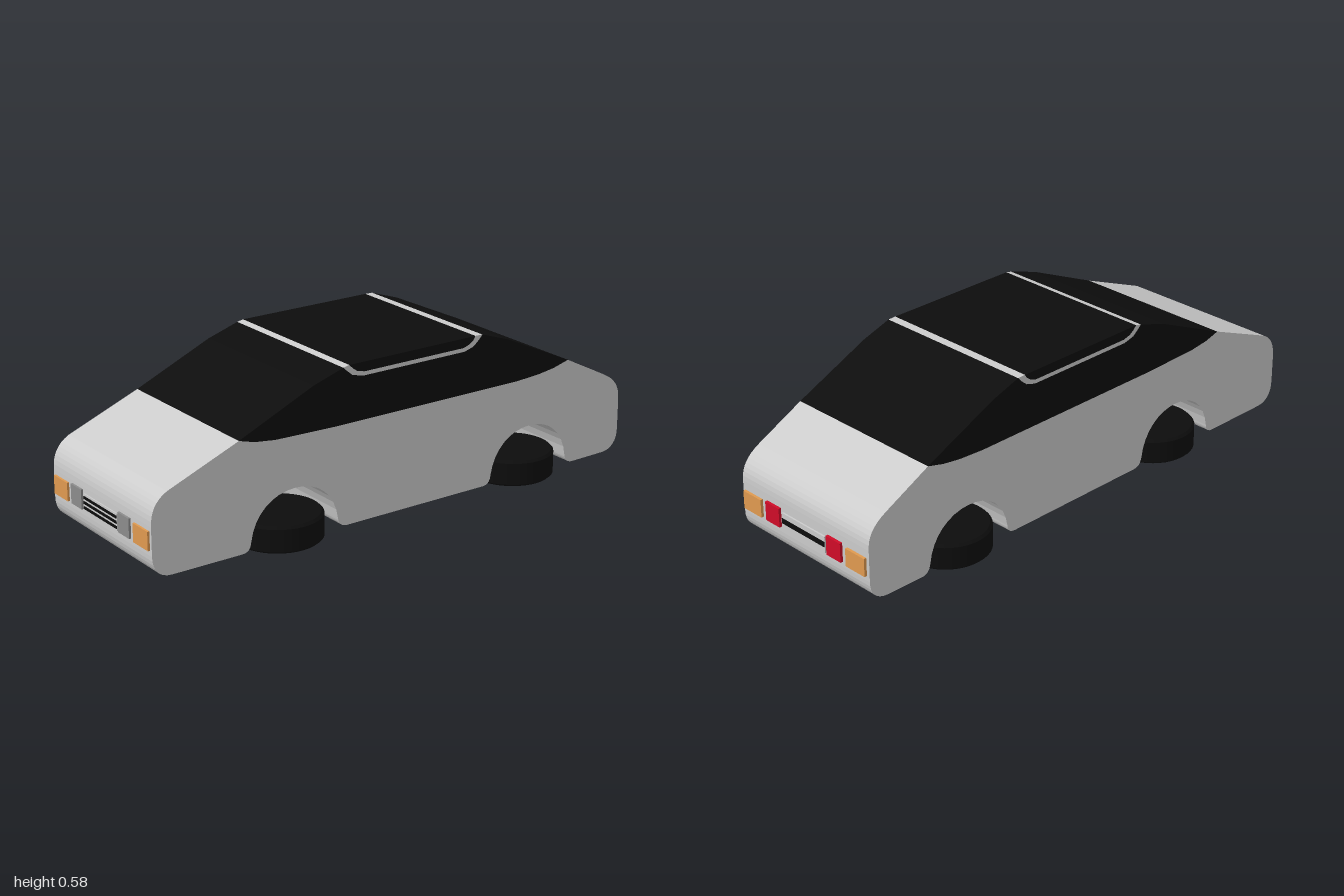
import * as THREE from 'three';

const material = (color) => new THREE.MeshStandardMaterial({ color });
const grey = material(0xcccccc);
const black = material(0x0d0d0d);
const amber = material(0xe09a50);
const red = material(0xd00c28);
const dark = material(0x8c8c8c);

const Z_BACK = -0.32, Z_FRONT = 0.308, Z_MID = -0.005;

function addMesh(parent, name, geometry, mat) {
  const mesh = new THREE.Mesh(geometry, mat);
  mesh.name = name;
  parent.add(mesh);
  return mesh;
}

// Side profile swept across the full width of the car
function addSlab(parent, name, shape, mat) {
  const geometry = new THREE.ExtrudeGeometry(shape, {
    depth: Z_FRONT - Z_BACK, bevelEnabled: false, curveSegments: 8,
  });
  geometry.translate(0, 0, Z_BACK);
  return addMesh(parent, name, geometry, mat);
}

const toShape = (points) => new THREE.Shape(points.map(([x, y]) => new THREE.Vector2(x, y)));

// Wheel arch cut, from its -x foot to its +x foot
function arch(shape, cx) {
  shape.lineTo(cx - 0.21, 0.022);
  shape.quadraticCurveTo(cx - 0.178, 0.022, cx - 0.175, 0.055);
  shape.bezierCurveTo(cx - 0.16, 0.15, cx - 0.09, 0.205, cx, 0.205);
  shape.bezierCurveTo(cx + 0.09, 0.205, cx + 0.16, 0.15, cx + 0.172, 0.055);
  shape.quadraticCurveTo(cx + 0.178, 0.022, cx + 0.21, 0.022);
}

// Lower edge of the dark cabin, from -x to +x
const beltLine = [
  [-0.66, 0.415], [-0.6, 0.398], [-0.52, 0.388], [-0.28, 0.382],
  [0.5, 0.382], [0.6, 0.388], [0.67, 0.398], [0.735, 0.415],
];

function bodyShape() {
  const s = new THREE.Shape();
  s.moveTo(-0.92, 0.022);
  arch(s, -0.445);
  arch(s, 0.563);
  s.lineTo(0.92, 0.024);
  s.bezierCurveTo(0.965, 0.026, 0.99, 0.055, 0.99, 0.1);
  s.lineTo(0.99, 0.215);
  s.bezierCurveTo(0.99, 0.265, 0.97, 0.295, 0.915, 0.324);
  for (const [x, y] of [...beltLine].reverse()) s.lineTo(x, y);
  s.lineTo(-0.93, 0.308);
  s.bezierCurveTo(-0.975, 0.285, -0.992, 0.25, -0.992, 0.2);
  s.lineTo(-0.992, 0.1);
  s.bezierCurveTo(-0.992, 0.055, -0.97, 0.022, -0.92, 0.022);
  return s;
}

// Outer and inner edges of the roof trim, from -x to +x
const trimOuter = [
  [-0.25, 0.579], [-0.235, 0.565], [-0.213, 0.547], [-0.17, 0.536],
  [0.26, 0.536], [0.298, 0.547], [0.32, 0.565], [0.337, 0.583],
];
const trimInner = [
  [-0.226, 0.584], [-0.212, 0.57], [-0.195, 0.558], [-0.165, 0.55],
  [0.255, 0.55], [0.28, 0.558], [0.297, 0.57], [0.306, 0.584],
];

// A flat-ended disc or ring facing down, turned about the wheel axis
const turned = (profile) =>
  new THREE.LatheGeometry(profile.map(([r, y]) => new THREE.Vector2(r, y)), 40);

function createWheel() {
  const wheel = new THREE.Group();
  wheel.name = 'wheel';
  const tyre = turned([
    [0, 0.012], [0.104, 0.012], [0.108, 0], [0.145, 0], [0.154, 0.008],
    [0.154, 0.087], [0.145, 0.096], [0, 0.096],
  ]);
  tyre.computeVertexNormals();
  addMesh(wheel, 'tyre', tyre.toNonIndexed(), black).geometry.computeVertexNormals();
  addMesh(wheel, 'rimRing', turned([
    [0.084, 0.013], [0.084, 0.005], [0.106, 0.005], [0.106, 0.013],
  ]), grey);
  addMesh(wheel, 'hubCap', turned([[0, 0.005], [0.06, 0.005], [0.06, 0.013]]), grey);
  return wheel;
}

// Lamps and grille for one end of the car; side is +1 or -1 along x
function createEnd(side) {
  const end = new THREE.Group();
  end.name = side > 0 ? 'rearFittings' : 'noseFittings';
  const plate = (name, z, y, width, height, reach, mat) => {
    const box = addMesh(end, name, new THREE.BoxGeometry(0.03, height, width), mat);
    box.position.set(side * (reach - 0.015), y, z);
  };
  for (const s of [-1, 1]) {
    plate('outerLamp', Z_MID + s * 0.257, 0.151, 0.09, 0.066, 1, amber);
    plate('innerLamp', Z_MID + s * 0.1525, 0.155, 0.069, 0.07, 1, side > 0 ? red : dark);
  }
  plate('grillePanel', Z_MID, 0.149, 0.212, 0.06, 0.996, grey);
  const slats = side > 0 ? [0.151] : [0.131, 0.149, 0.167];
  for (const y of slats) {
    plate('grilleSlat', Z_MID, y, 0.21, side > 0 ? 0.018 : 0.009, 0.999, black);
  }
  return end;
}

export function createModel() {
  const car = new THREE.Group();
  car.name = 'car';

  addSlab(car, 'body', bodyShape(), grey);

  // Dark cabin, split by the light trim around the roof panel
  addSlab(car, 'cabin', toShape([
    ...beltLine, [0.45, 0.545], ...[...trimOuter].reverse(), [-0.37, 0.541],
  ]), black);
  addSlab(car, 'roofTrim', toShape([...trimOuter, ...[...trimInner].reverse()]), grey);
  addSlab(car, 'roofPanel', toShape(trimInner), black);

  // Wheels lie flat beneath the arches
  for (const x of [-0.447, 0.562]) {
    for (const z of [-0.21, 0.21]) {
      const wheel = createWheel();
      wheel.position.set(x, 0, z);
      car.add(wheel);
    }
  }

  car.add(createEnd(1), createEnd(-1));
  return car;
}
